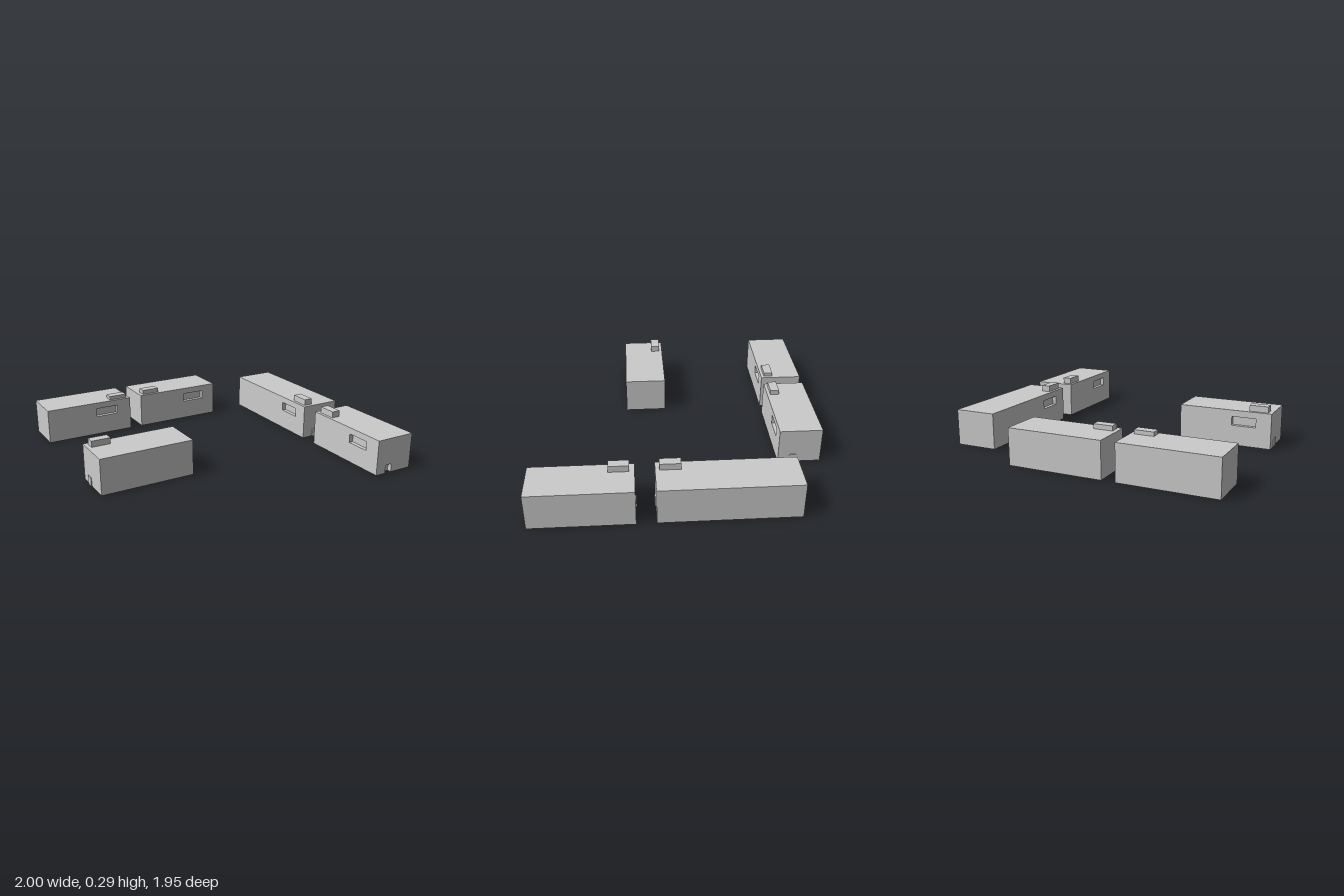
import * as THREE from 'three';

const H = 0.248, W = 0.294, D = 0.03;
const DOOR = [0.018, 0.07, 0.06]; // z start, z end, height
const mat = new THREE.MeshStandardMaterial({ color: 0xcccccc, flatShading: true });

function add(group, name, geometry) {
  const mesh = new THREE.Mesh(geometry, mat);
  mesh.name = name;
  group.add(mesh);
  return mesh;
}

// Box given by its limits on each axis
function block(group, name, x0, x1, y0, y1, z0, z1) {
  const mesh = add(group, name, new THREE.BoxGeometry(x1 - x0, y1 - y0, z1 - z0));
  mesh.position.set((x0 + x1) / 2, (y0 + y1) / 2, (z0 + z1) / 2);
  return mesh;
}

function polygon(points) {
  return new THREE.Shape(points.map(([x, y]) => new THREE.Vector2(x, y)));
}

const extrude = (shape, depth) => new THREE.ExtrudeGeometry(shape, { depth, bevelEnabled: false });

// Door outline with clipped top corners
function doorOutline(a, b, h) {
  const c = 0.006;
  return [[a, 0], [a, h - c], [a + c, h], [b - c, h], [b, h - c], [b, 0]];
}

// Local frame: length along x, windowed wall faces +z, door end faces +x
function building({ name, length, at, turn, windowX, unitX, unitTop, openDoor }) {
  const g = new THREE.Group();
  g.name = name;
  const e = length / 2, s = W / 2;

  // Main volume
  block(g, 'body', -e, openDoor ? e - D : e, 0, H, -s, s - D);

  // Long wall with a recessed window
  const wall = polygon([[-e, 0], [e, 0], [e, H], [-e, H]]);
  const [a, b] = windowX;
  wall.holes.push(polygon([[a, 0.14], [a, 0.203], [b, 0.203], [b, 0.14]]));
  add(g, 'windowWall', extrude(wall, D)).position.z = s - D;

  // End wall with a doorway cut into it
  if (openDoor) {
    const outline = doorOutline(-DOOR[1], -DOOR[0], DOOR[2]);
    const end = polygon([[D - s, 0], ...outline, [s, 0], [s, H], [D - s, H]]);
    const mesh = add(g, 'doorWall', extrude(end, D));
    mesh.rotation.y = Math.PI / 2;
    mesh.position.x = e - D;
  }

  // Thin door panel standing slightly proud of the end wall
  const door = add(g, 'door', extrude(polygon(doorOutline(-DOOR[1], -DOOR[0], DOOR[2])), 0.012));
  door.rotation.y = Math.PI / 2;
  door.position.x = openDoor ? -e - 0.006 : e - 0.006;

  // Rooftop unit
  block(g, 'roofUnit', unitX[0], unitX[1], H - 0.01, unitTop, 0.062, 0.125);

  g.position.set(at[0], 0, at[1]);
  g.rotation.y = turn;
  return g;
}

export function createModel() {
  const model = new THREE.Group();
  model.name = 'buildings';
  const q = -Math.PI / 2;
  [
    { name: 'backRightBuilding', length: 0.654, at: [-0.666, -0.832], turn: 0,
      windowX: [0.05, 0.22], unitX: [0.17, 0.303], unitTop: 0.275 },
    { name: 'backLeftBuilding', length: 0.654, at: [0.081, -0.832], turn: 0,
      windowX: [0.05, 0.22], unitX: [-0.298, -0.167], unitTop: 0.28 },
    { name: 'rightBuilding', length: 0.654, at: [-0.669, 0.2], turn: Math.PI,
      windowX: [0.05, 0.22], unitX: [0.167, 0.298], unitTop: 0.29 },
    { name: 'longBuilding', length: 0.914, at: [0.847, -0.283], turn: q,
      windowX: [0.18, 0.35], unitX: [0.293, 0.43], unitTop: 0.292 },
    { name: 'frontLeftBuilding', length: 0.674, at: [0.85, 0.638], turn: q,
      windowX: [0.05, 0.22], unitX: [-0.303, -0.171], unitTop: 0.292, openDoor: true },
  ].forEach((spec) => model.add(building(spec)));
  return model;
}
